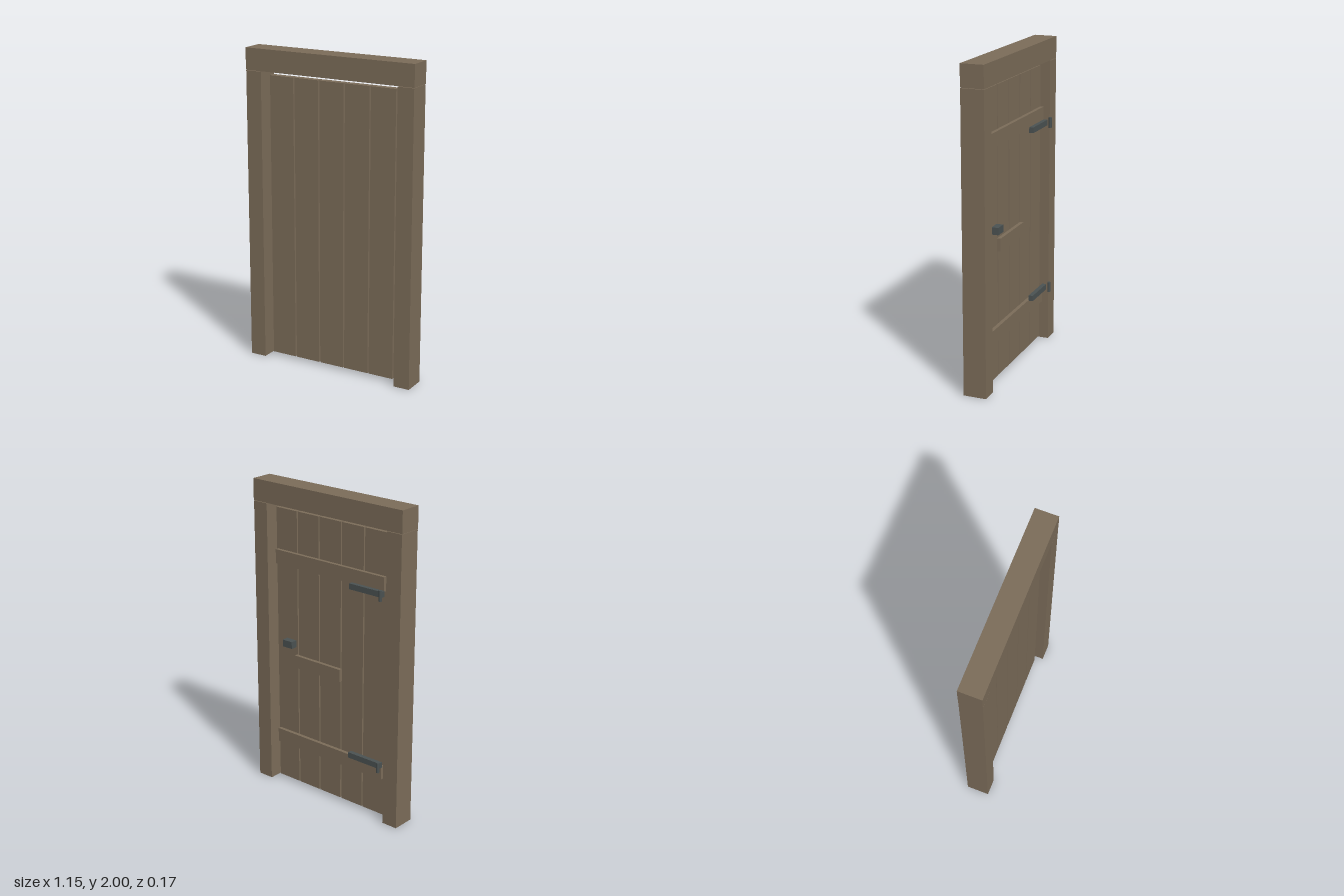
import * as THREE from 'three';

export function createModel() {
  const door = new THREE.Group();
  door.name = 'plankDoor';

  const wood = new THREE.MeshStandardMaterial({ color: 0x7b6c59 });
  wood.name = 'weatheredWood';
  const iron = new THREE.MeshStandardMaterial({ color: 0x4b5252 });
  iron.name = 'darkIron';

  // Box given by its [min, max] extent on each axis
  function box(name, x, y, z, material) {
    const mesh = new THREE.Mesh(
      new THREE.BoxGeometry(x[1] - x[0], y[1] - y[0], z[1] - z[0]), material);
    mesh.position.set((x[0] + x[1]) / 2, (y[0] + y[1]) / 2, (z[0] + z[1]) / 2);
    mesh.name = name;
    door.add(mesh);
    return mesh;
  }

  // Frame: two posts and a lintel
  const frameZ = [-0.06, 0.085];
  box('leftPost', [0.467, 0.573], [0, 1.86], frameZ, wood);
  box('rightPost', [-0.573, -0.467], [0, 1.86], frameZ, wood);
  box('lintel', [-0.575, 0.575], [1.863, 2], frameZ, wood);

  // Five upright planks with narrow gaps
  for (let i = -2; i <= 2; i++) {
    const c = i * 0.175;
    box('plank' + (i + 3), [c - 0.083, c + 0.083], [0.022, 1.835], [-0.009, 0.036], wood);
  }

  // Ledges across the back
  const ledgeZ = [-0.032, -0.009];
  box('topLedge', [-0.428, 0.424], [1.483, 1.573], ledgeZ, wood);
  box('bottomLedge', [-0.428, 0.424], [0.272, 0.362], ledgeZ, wood);
  box('middleLedge', [-0.093, 0.275], [0.827, 0.908], ledgeZ, wood);

  // Hinges: strap and pin
  for (const [label, y] of [['top', 1.473], ['bottom', 0.374]]) {
    box(label + 'HingeStrap', [-0.433, -0.188], [y - 0.018, y + 0.018], [-0.058, -0.03], iron);
    const pin = new THREE.Mesh(new THREE.CylinderGeometry(0.01, 0.01, 0.066, 12), iron);
    pin.position.set(-0.437, y, -0.075);
    pin.name = label + 'HingePin';
    door.add(pin);
  }

  // Latch on the opening side
  box('latch', [0.281, 0.357], [0.955, 1.0], [-0.052, -0.009], iron);

  return door;
}
